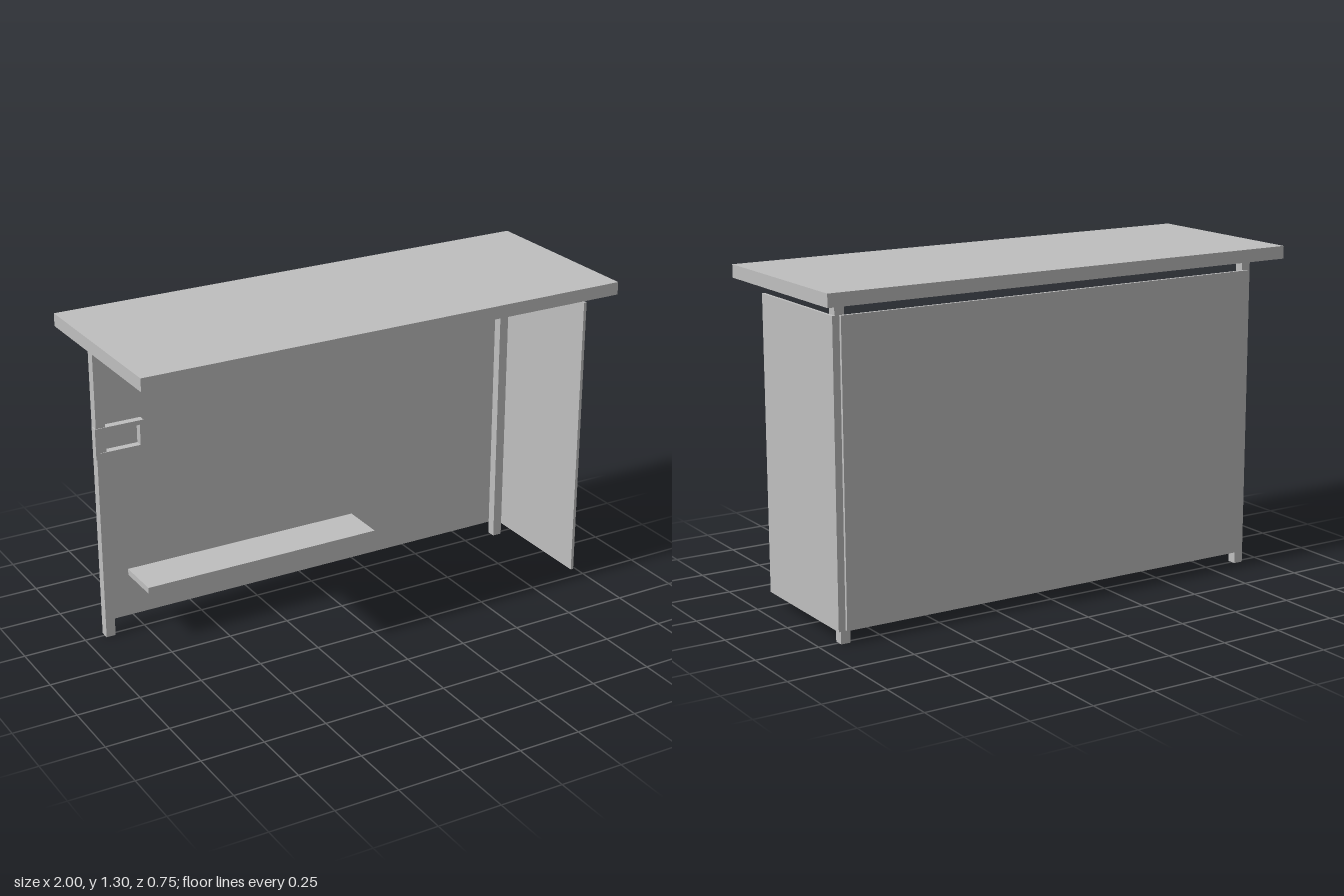
import * as THREE from 'three';

export function createModel() {
  const model = new THREE.Group();
  model.name = 'counter';

  const grey = new THREE.MeshStandardMaterial({ color: 0xc0c0c0 });
  grey.name = 'light grey';

  // Box given by its lower and upper limits on each axis
  function box(name, [x0, x1], [y0, y1], [z0, z1]) {
    const mesh = new THREE.Mesh(new THREE.BoxGeometry(x1 - x0, y1 - y0, z1 - z0), grey);
    mesh.position.set((x0 + x1) / 2, (y0 + y1) / 2, (z0 + z1) / 2);
    mesh.name = name;
    model.add(mesh);
  }

  // Worktop
  box('worktop', [-1, 1], [1.25, 1.3], [-0.375, 0.375]);

  // Rear posts
  for (const [name, x] of [['leftPost', 0.9], ['rightPost', -0.9]]) {
    box(name, [x - 0.019, x + 0.019], [0, 1.25], [-0.269, -0.231]);
  }

  // Thin panels on the outside of the posts
  box('backPanel', [-0.9, 0.9], [0.05, 1.2], [-0.281, -0.269]);
  box('sidePanel', [0.919, 0.931], [0.05, 1.2], [-0.275, 0.275]);

  // Low shelf against the back panel
  box('shelf', [-0.8, 0.2], [0.225, 0.25], [-0.268, -0.083]);

  // Rectangular bracket looped around the right post
  const rectangle = (PathType, x0, x1, y0, y1) => {
    const path = new PathType();
    path.moveTo(x0, y0);
    path.lineTo(x1, y0);
    path.lineTo(x1, y1);
    path.lineTo(x0, y1);
    path.closePath();
    return path;
  };
  const outline = rectangle(THREE.Shape, -0.924, -0.726, 0.75, 0.875);
  outline.holes.push(rectangle(THREE.Path, -0.908, -0.742, 0.775, 0.857));
  const bracket = new THREE.Mesh(
    new THREE.ExtrudeGeometry(outline, { depth: 0.03, bevelEnabled: false }), grey);
  bracket.position.z = -0.258;
  bracket.name = 'postBracket';
  model.add(bracket);

  return model;
}
